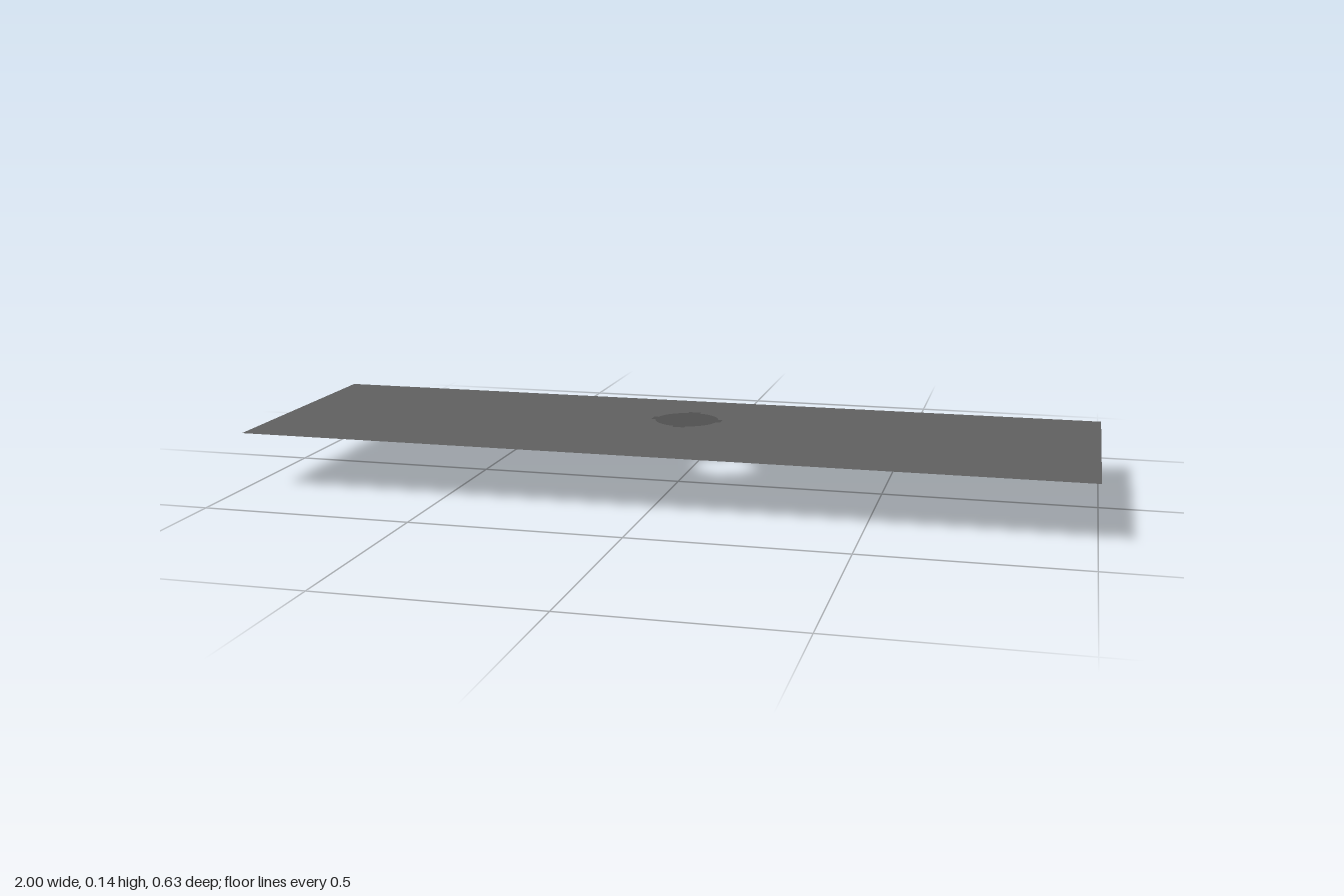
import * as THREE from 'three';

const HEIGHT = 0.136, HALF_DEPTH = 0.314;

// Round hole with four small square notches
function notchedHole(cx, cy, radius, reach, halfWidth) {
  const hole = new THREE.Path();
  const a = Math.asin(halfWidth / radius);
  for (let i = 0; i < 4; i++) {
    const t = i * Math.PI / 2, c = Math.cos(t), s = Math.sin(t);
    const corner = (u, v) => [cx + u * c - v * s, cy + u * s + v * c];
    if (i === 0) hole.moveTo(...corner(reach, -halfWidth));
    else hole.lineTo(...corner(reach, -halfWidth));
    hole.lineTo(...corner(reach, halfWidth));
    hole.absarc(cx, cy, radius, t + a, t + Math.PI / 2 - a, false);
  }
  hole.closePath();
  return hole;
}

export function createModel() {
  const group = new THREE.Group();
  group.name = 'bracket';
  const metal = new THREE.MeshStandardMaterial({ color: 0x606060 });
  metal.name = 'dark grey metal';
  metal.side = THREE.DoubleSide;

  // Flat top sheet with the hole
  const outline = new THREE.Shape();
  outline.moveTo(-1, -HALF_DEPTH);
  outline.lineTo(1, -HALF_DEPTH);
  outline.lineTo(1, HALF_DEPTH);
  outline.lineTo(-1, HALF_DEPTH);
  outline.closePath();
  outline.holes.push(notchedHole(0, 0.09, 0.078, 0.088, 0.015));
  const topGeometry = new THREE.ShapeGeometry(outline, 8);
  topGeometry.rotateX(-Math.PI / 2);
  const top = new THREE.Mesh(topGeometry, metal);
  top.name = 'topPlate';
  top.position.y = HEIGHT;

  // Flange folded down along the back edge, facing outward
  const flange = new THREE.Mesh(new THREE.PlaneGeometry(2, HEIGHT), metal);
  flange.name = 'backFlange';
  flange.rotation.y = Math.PI;
  flange.position.set(0, HEIGHT / 2, -HALF_DEPTH);

  group.add(top, flange);
  return group;
}
